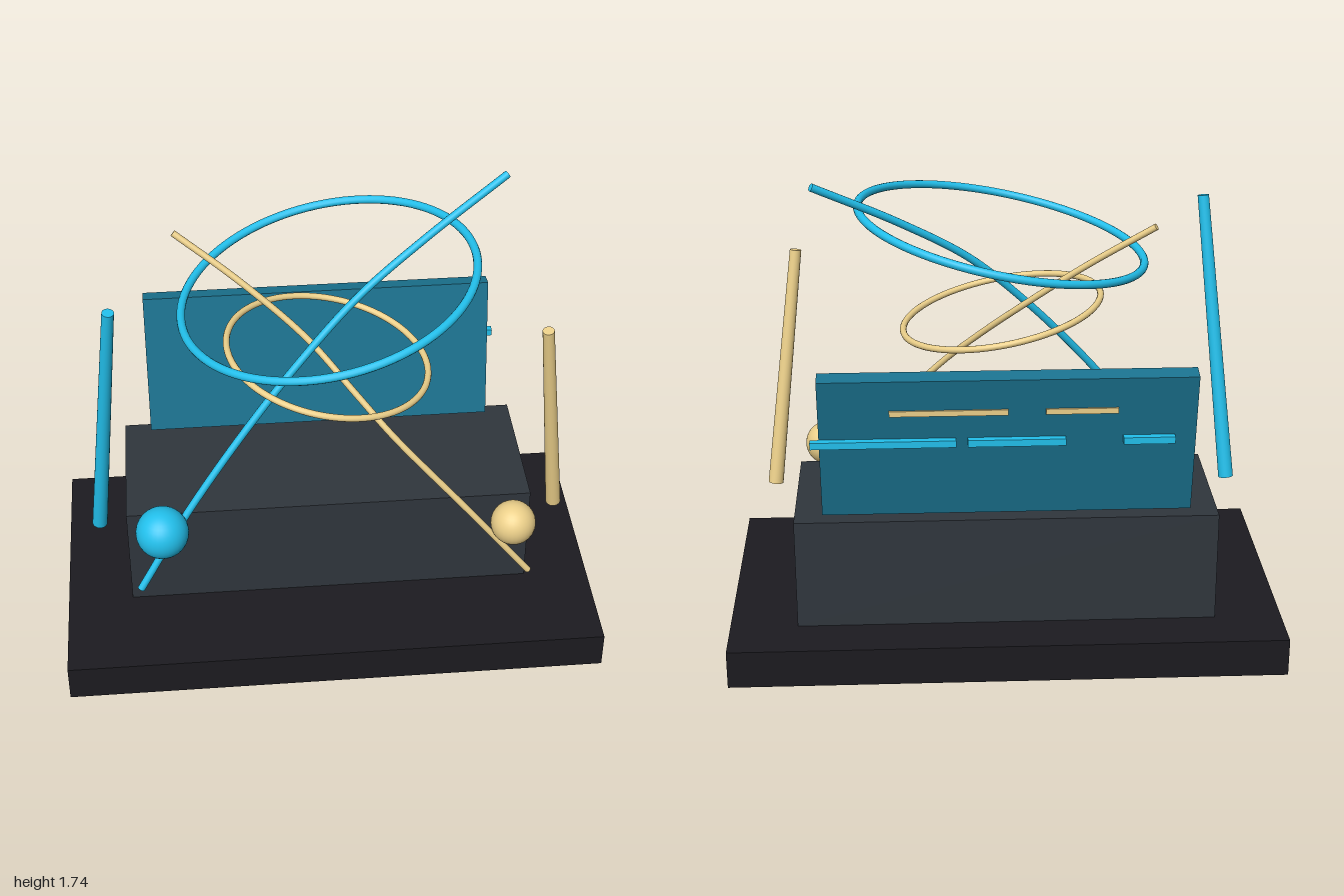
import * as THREE from 'three';

const paint = (color) => new THREE.MeshStandardMaterial({ color });

export function createModel() {
  const model = new THREE.Group();
  const cyan = paint(0x22c0ec);
  const gold = paint(0xecd08a);
  const teal = paint(0x1b7390);
  const black = paint(0x1c1b20);
  const slate = paint(0x30363d);

  function add(name, geometry, material, x = 0, y = 0, z = 0) {
    const mesh = new THREE.Mesh(geometry, material);
    mesh.name = name;
    mesh.position.set(x, y, z);
    model.add(mesh);
    return mesh;
  }

  // Tapered rod between two points
  function rod(name, bottom, top, rBottom, rTop, material) {
    const a = new THREE.Vector3(...bottom);
    const b = new THREE.Vector3(...top);
    const dir = b.clone().sub(a);
    const mesh = add(name, new THREE.CylinderGeometry(rTop, rBottom, dir.length(), 24), material);
    mesh.position.copy(a).add(b).multiplyScalar(0.5);
    mesh.quaternion.setFromUnitVectors(new THREE.Vector3(0, 1, 0), dir.normalize());
  }

  // Curved strand with flat end caps
  function strand(name, points, radius, material) {
    const curve = new THREE.CatmullRomCurve3(points.map((p) => new THREE.Vector3(...p)));
    add(name, new THREE.TubeGeometry(curve, 64, radius, 12), material);
    for (const t of [0, 1]) {
      const cap = add(name + 'Cap', new THREE.CircleGeometry(radius, 12), material);
      cap.position.copy(curve.getPoint(t));
      const out = curve.getTangent(t).multiplyScalar(t ? 1 : -1);
      cap.quaternion.setFromUnitVectors(new THREE.Vector3(0, 0, 1), out);
    }
  }

  // Horizontal ring tipped sideways
  function ring(name, radius, tube, y, tilt, material) {
    const geometry = new THREE.TorusGeometry(radius, tube, 12, 96).rotateX(Math.PI / 2);
    add(name, geometry, material, 0, y, 0.048).rotation.z = tilt;
  }

  // Plinth and body
  add('base', new THREE.BoxGeometry(2, 0.14, 1.1), black, 0, 0.07, -0.042);
  add('body', new THREE.BoxGeometry(1.514, 0.41, 0.545), slate, 0, 0.345, -0.135);

  // Leaning back panel
  add('panel', new THREE.BoxGeometry(1.31, 0.552, 0.064), teal, 0, 0.849, -0.41).rotation.x = -0.19;

  // Dashes on the rear of the panel
  for (const [x0, x1] of [[0.18, 0.685], [-0.2, 0.14], [-0.58, -0.4]]) {
    add('lowerDash', new THREE.BoxGeometry(x1 - x0, 0.025, 0.028), cyan, (x0 + x1) / 2, 0.875, -0.466);
  }
  for (const [x0, x1] of [[0, 0.41], [-0.38, -0.13]]) {
    add('upperDash', new THREE.BoxGeometry(x1 - x0, 0.02, 0.024), gold, (x0 + x1) / 2, 0.989, -0.467);
  }

  // Spheres
  add('rightSphere', new THREE.SphereGeometry(0.096, 32, 20), cyan, -0.623, 0.626, 0.325);
  add('leftSphere', new THREE.SphereGeometry(0.083, 32, 20), gold, 0.663, 0.556, 0.303);

  // Side rods
  rod('rightRod', [-0.858, 0.481, 0.083], [-0.755, 1.545, 0.25], 0.028, 0.021, cyan);
  rod('leftRod', [0.853, 0.481, 0.106], [0.751, 1.362, 0.228], 0.028, 0.021, gold);

  // Tilted rings
  ring('largeRing', 0.525, 0.015, 1.475, 0.202, cyan);
  ring('smallRing', 0.366, 0.012, 1.177, -0.187, gold);

  // Crossing strands
  strand('cyanStrand', [
    [-0.714, 0.374, 0.345], [-0.527, 0.665, 0.267], [-0.313, 0.945, 0.178], [-0.1, 1.187, 0.09],
    [0.115, 1.392, 0.002], [0.36, 1.555, -0.099], [0.662, 1.724, -0.225],
  ], 0.014, cyan);
  strand('goldStrand', [
    [-0.527, 1.561, -0.2], [-0.3, 1.4, -0.115], [-0.07, 1.212, -0.01], [0.1, 1.043, 0.122],
    [0.225, 0.912, 0.207], [0.49, 0.622, 0.288], [0.73, 0.332, 0.323],
  ], 0.012, gold);

  return model;
}
